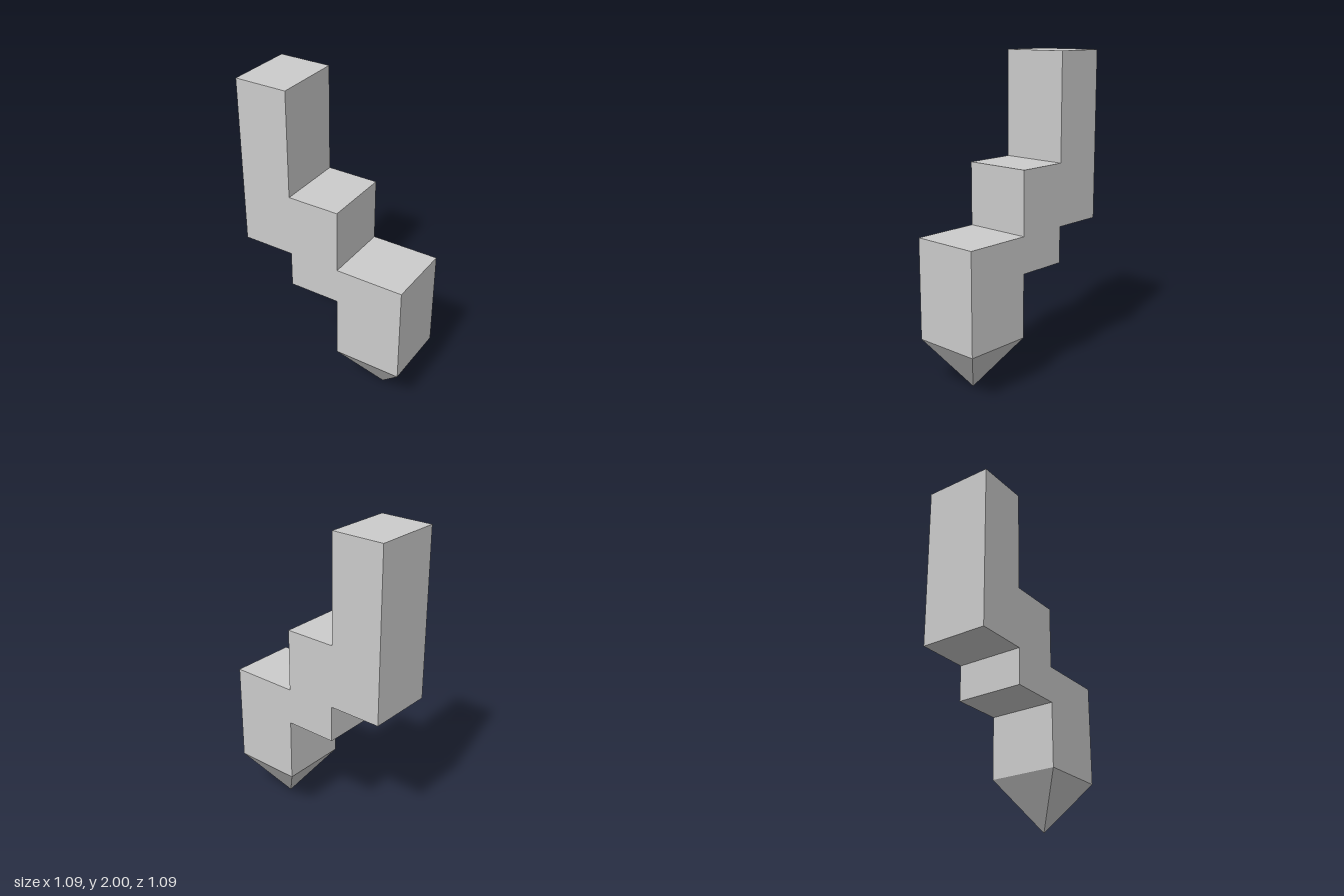
import * as THREE from 'three';

const WIDTH = 0.434;

export function createModel() {
  const model = new THREE.Group();
  const material = new THREE.MeshStandardMaterial({ color: 0xcccccc, flatShading: true });

  // Stepped body: side profile extruded across its width
  const profile = [
    [-0.552, 0.94], [-0.216, 0.94], [-0.216, 0.71], [0.115, 0.71], [0.115, 0.31], [0.549, 0.31],
    [0.549, 0.94], [0.115, 0.94], [0.115, 1.335], [-0.216, 1.335], [-0.216, 2], [-0.552, 2],
  ];
  const shape = new THREE.Shape(profile.map(([x, y]) => new THREE.Vector2(x, y)));
  const bodyGeometry = new THREE.ExtrudeGeometry(shape, { depth: WIDTH, bevelEnabled: false });
  bodyGeometry.translate(0, 0, -WIDTH / 2);
  const body = new THREE.Mesh(bodyGeometry, material);
  body.name = 'steppedBody';

  // Four-sided point under the lowest block
  const tipGeometry = new THREE.ConeGeometry(WIDTH / Math.SQRT2, 0.31, 4, 1, true);
  tipGeometry.rotateY(Math.PI / 4).rotateX(Math.PI);
  const tip = new THREE.Mesh(tipGeometry, material);
  tip.name = 'pointedTip';
  tip.position.set(0.332, 0.155, 0);

  // The whole piece runs diagonally, from back right to front left
  model.add(body, tip);
  model.rotation.y = -Math.PI / 4;
  const root = new THREE.Group();
  model.name = 'steppedStake';
  root.add(model);
  return root;
}
